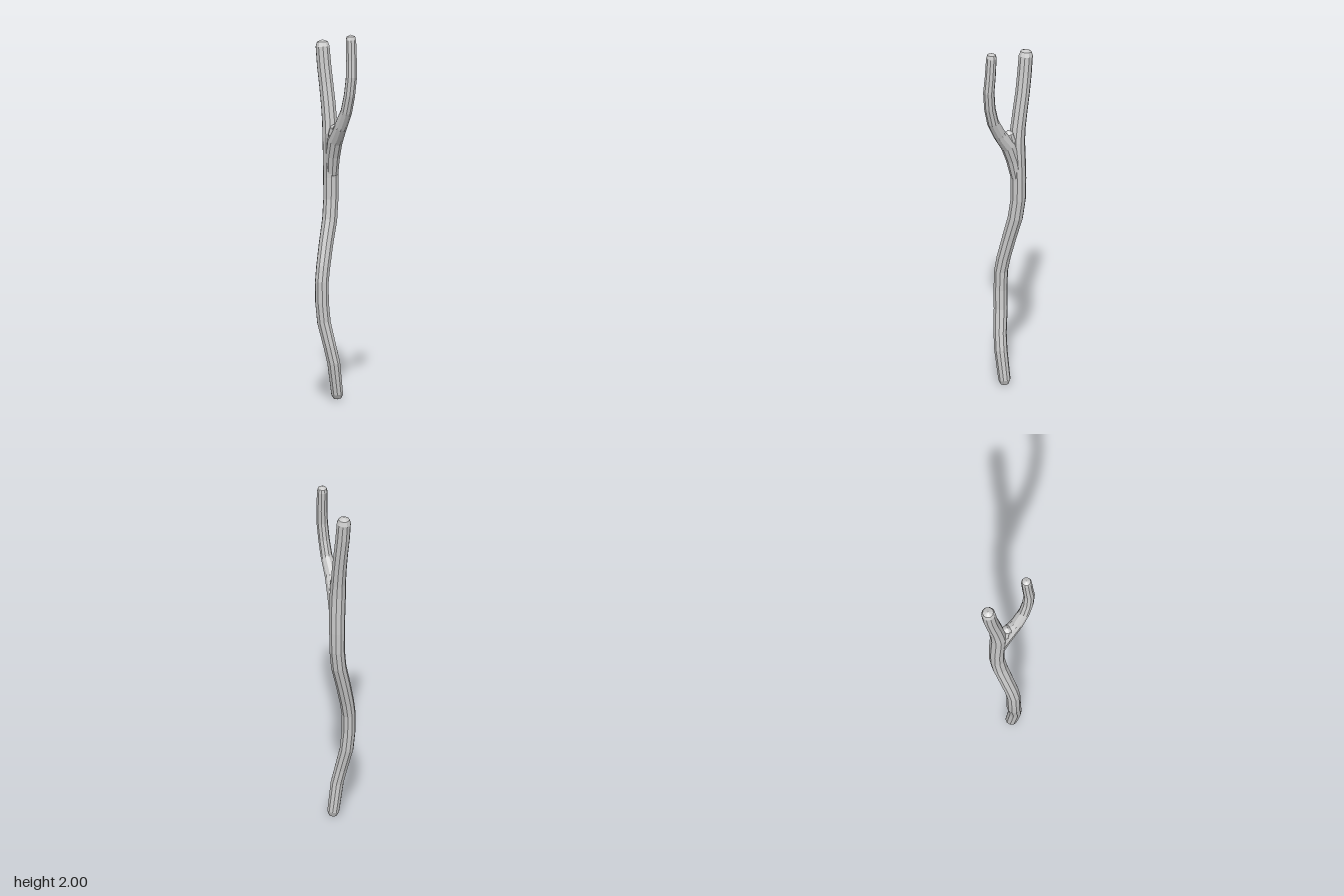
import * as THREE from 'three';

const SIDES = 10;
const material = new THREE.MeshStandardMaterial({ color: 0xcccccc, flatShading: true });

// Skins a limb with rings square to its path; each row is [x, y, z, radius].
// A radius of 0 closes an end to a point.
function limb(name, rows) {
  const centres = rows.map(([x, y, z]) => new THREE.Vector3(x, y, z));
  const positions = [];
  const indices = [];
  rows.forEach((row, j) => {
    const before = centres[Math.max(j - 1, 0)];
    const after = centres[Math.min(j + 1, rows.length - 1)];
    const t = after.clone().sub(before).normalize();
    const u = new THREE.Vector3(1, 0, 0).addScaledVector(t, -t.x).normalize();
    const w = u.clone().cross(t);
    for (let i = 0; i < SIDES; i++) {
      const a = (i / SIDES) * Math.PI * 2;
      const p = centres[j].clone()
        .addScaledVector(u, Math.cos(a) * row[3])
        .addScaledVector(w, Math.sin(a) * row[3]);
      positions.push(p.x, p.y, p.z);
    }
  });
  for (let j = 0; j < rows.length - 1; j++) {
    for (let i = 0; i < SIDES; i++) {
      const n = (i + 1) % SIDES;
      const a = j * SIDES + i, b = a + SIDES;
      const d = j * SIDES + n, c = d + SIDES;
      if (rows[j][3] > 0) indices.push(a, b, d);
      if (rows[j + 1][3] > 0) indices.push(b, c, d);
    }
  }
  const geometry = new THREE.BufferGeometry();
  geometry.setAttribute('position', new THREE.Float32BufferAttribute(positions, 3));
  geometry.setIndex(indices);
  geometry.computeVertexNormals();
  const mesh = new THREE.Mesh(geometry, material);
  mesh.name = name;
  return mesh;
}

export function createModel() {
  const group = new THREE.Group();
  group.name = 'forkedStick';

  // Winding trunk that runs on into the thicker prong
  group.add(limb('trunkAndThickProng', [
    [0.016, 0, -0.022, 0],
    [0.016, 0.006, -0.022, 0.022],
    [0.016, 0.03, -0.02, 0.033],
    [0.018, 0.2, 0.005, 0.036],
    [0.006, 0.29, 0.022, 0.036],
    [-0.02, 0.42, 0.042, 0.038],
    [-0.027, 0.53, 0.05, 0.038],
    [-0.03, 0.64, 0.049, 0.038],
    [-0.036, 0.72, 0.035, 0.039],
    [-0.048, 0.84, 0.006, 0.04],
    [-0.06, 0.97, -0.029, 0.042],
    [-0.067, 1.08, -0.043, 0.042],
    [-0.068, 1.2, -0.044, 0.043],
    [-0.064, 1.32, -0.041, 0.045],
    [-0.063, 1.42, -0.037, 0.045],
    [-0.071, 1.5, -0.038, 0.042],
    [-0.086, 1.6, -0.04, 0.041],
    [-0.104, 1.7, -0.041, 0.04],
    [-0.12, 1.8, -0.039, 0.04],
    [-0.132, 1.905, -0.038, 0.039],
    [-0.134, 1.93, -0.038, 0.03],
    [-0.135, 1.942, -0.038, 0],
  ]));

  // Thinner prong that bows outward, with its root sunk in the trunk
  group.add(limb('thinProng', [
    [-0.062, 1.17, -0.044, 0],
    [-0.056, 1.22, -0.042, 0.034],
    [-0.039, 1.32, -0.034, 0.04],
    [-0.01, 1.405, -0.026, 0.042],
    [0.05, 1.488, -0.016, 0.035],
    [0.102, 1.58, -0.015, 0.032],
    [0.127, 1.67, -0.016, 0.031],
    [0.139, 1.77, -0.02, 0.031],
    [0.133, 1.86, -0.025, 0.03],
    [0.126, 1.97, -0.027, 0.029],
    [0.125, 1.99, -0.027, 0.024],
    [0.124, 2, -0.027, 0],
  ]));

  // Web of wood filling the crotch of the fork
  group.add(limb('crotchWeb', [
    [-0.035, 1.32, -0.034, 0],
    [-0.03, 1.37, -0.031, 0.03],
    [-0.018, 1.44, -0.027, 0.034],
    [-0.01, 1.48, -0.025, 0.026],
    [-0.008, 1.5, -0.024, 0],
  ]));

  return group;
}
